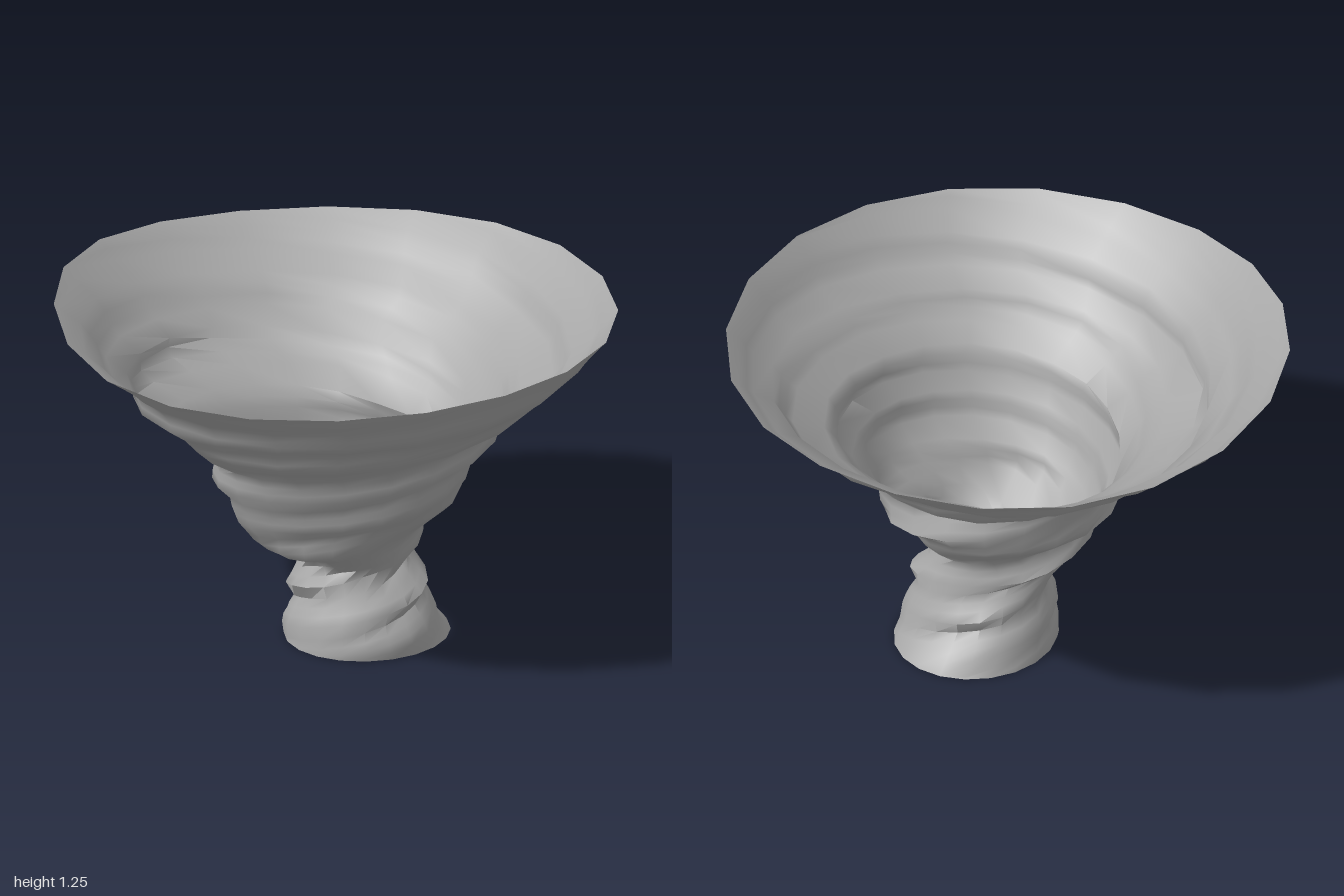
import * as THREE from 'three';
import { toCreasedNormals } from 'three/addons/utils/BufferGeometryUtils.js';

// Funnel extents per height: [y, minX, maxX, minZ, maxZ]
const PROFILE = [
  [0.00, -0.20, 0.36, -0.39, 0.21],
  [0.08, -0.20, 0.37, -0.33, 0.21],
  [0.17, -0.20, 0.35, -0.30, 0.18],
  [0.24, -0.18, 0.34, -0.28, 0.17],
  [0.30, -0.19, 0.29, -0.26, 0.14],
  [0.36, -0.24, 0.33, -0.25, 0.24],
  [0.42, -0.25, 0.37, -0.27, 0.37],
  [0.49, -0.26, 0.40, -0.34, 0.41],
  [0.56, -0.35, 0.49, -0.41, 0.44],
  [0.63, -0.36, 0.53, -0.42, 0.48],
  [0.72, -0.38, 0.58, -0.43, 0.51],
  [0.78, -0.45, 0.61, -0.53, 0.55],
  [0.85, -0.54, 0.64, -0.57, 0.64],
  [0.90, -0.68, 0.72, -0.62, 0.71],
  [0.98, -0.71, 0.79, -0.75, 0.75],
  [1.04, -0.80, 0.88, -0.81, 0.81],
  [1.11, -0.90, 0.94, -0.88, 0.88],
  [1.20, -1.00, 1.00, -1.00, 1.00],
];
const TOP = 1.2;
const SIDES = 20;       // columns around the funnel
const STRANDS = 3;      // helical bands wound together
const PER_UNIT = 7;     // ridges per unit of height
const LIP = 0.35;       // share of a band taken by its lower lip
const STEPS = [0, LIP, 0.57, 0.78]; // rows inside each ridge

function extentsAt(y) {
  let i = 0;
  while (i < PROFILE.length - 2 && PROFILE[i + 1][0] < y) i++;
  const a = PROFILE[i], b = PROFILE[i + 1];
  const f = (y - a[0]) / (b[0] - a[0]);
  return a.map((v, k) => v + (b[k] - v) * f);
}

// Soft lip at the foot of each band, tapering in above it
function ridge(phase) {
  const f = phase - Math.floor(phase);
  return f < LIP ? -1 + (2 * f) / LIP : 1 - (2 * (f - LIP)) / (1 - LIP);
}

function funnelPoint(phase, t) {
  const turn = (STRANDS * t) / (2 * Math.PI);
  const y = THREE.MathUtils.clamp((phase - turn) / PER_UNIT, 0, TOP);
  const [, x0, x1, z0, z1] = extentsAt(y);
  const c = Math.cos(t), s = Math.sin(t);
  // Ridges fade out at both open ends and vary around the funnel
  const fade = Math.min(1, y / 0.1, (TOP - y) / 0.12);
  const size = 0.014 + 0.007 * Math.sin(3 * t + 11 * y);
  // The raised part of the rim is drawn in and stands steeper
  const raised = Math.max(0, Math.cos(t - 2.5)) ** 4;
  const nearTop = THREE.MathUtils.smoothstep(y, 1.0, TOP);
  const bump = fade * (size * ridge(y * PER_UNIT + turn) - 0.01) - 0.04 * raised * nearTop * s * s;
  const rimShift = -0.015 + 0.07 * raised + 0.035 * Math.max(0, c) ** 2 + 0.02 * Math.max(0, -s) ** 6;
  return [
    (x0 + x1) / 2 + ((x1 - x0) / 2 + bump) * c,
    y + nearTop * rimShift,
    (z0 + z1) / 2 + ((z1 - z0) / 2 + bump) * s,
  ];
}

function funnelGeometry() {
  // Rows follow the helix, so ridge edges run along the mesh
  const phases = [];
  const last = Math.ceil(TOP * PER_UNIT) + STRANDS;
  for (let p = 0; p <= last; p++) STEPS.forEach((f) => phases.push(p + f));

  const positions = [];
  const addTriangle = (a, b, c) => {
    const tri = new THREE.Triangle(...[a, b, c].map((p) => new THREE.Vector3(...p)));
    if (tri.getArea() > 1e-7) positions.push(...a, ...b, ...c);
  };
  for (let i = 0; i < SIDES; i++) {
    const t0 = (i / SIDES) * 2 * Math.PI;
    const t1 = ((i + 1) / SIDES) * 2 * Math.PI;
    for (let j = 0; j < phases.length - 1; j++) {
      const a = funnelPoint(phases[j], t0), b = funnelPoint(phases[j + 1], t0);
      const c = funnelPoint(phases[j + 1], t1), d = funnelPoint(phases[j], t1);
      addTriangle(a, b, d);
      addTriangle(b, c, d);
    }
  }
  const geometry = new THREE.BufferGeometry();
  geometry.setAttribute('position', new THREE.Float32BufferAttribute(positions, 3));
  return toCreasedNormals(geometry, 1.1);
}

export function createModel() {
  const group = new THREE.Group();
  group.name = 'whirlwind';
  const funnel = new THREE.Mesh(
    funnelGeometry(),
    new THREE.MeshStandardMaterial({ color: 0xa8a8a8, side: THREE.DoubleSide })
  );
  funnel.name = 'twistedFunnel';
  group.add(funnel);
  return group;
}
